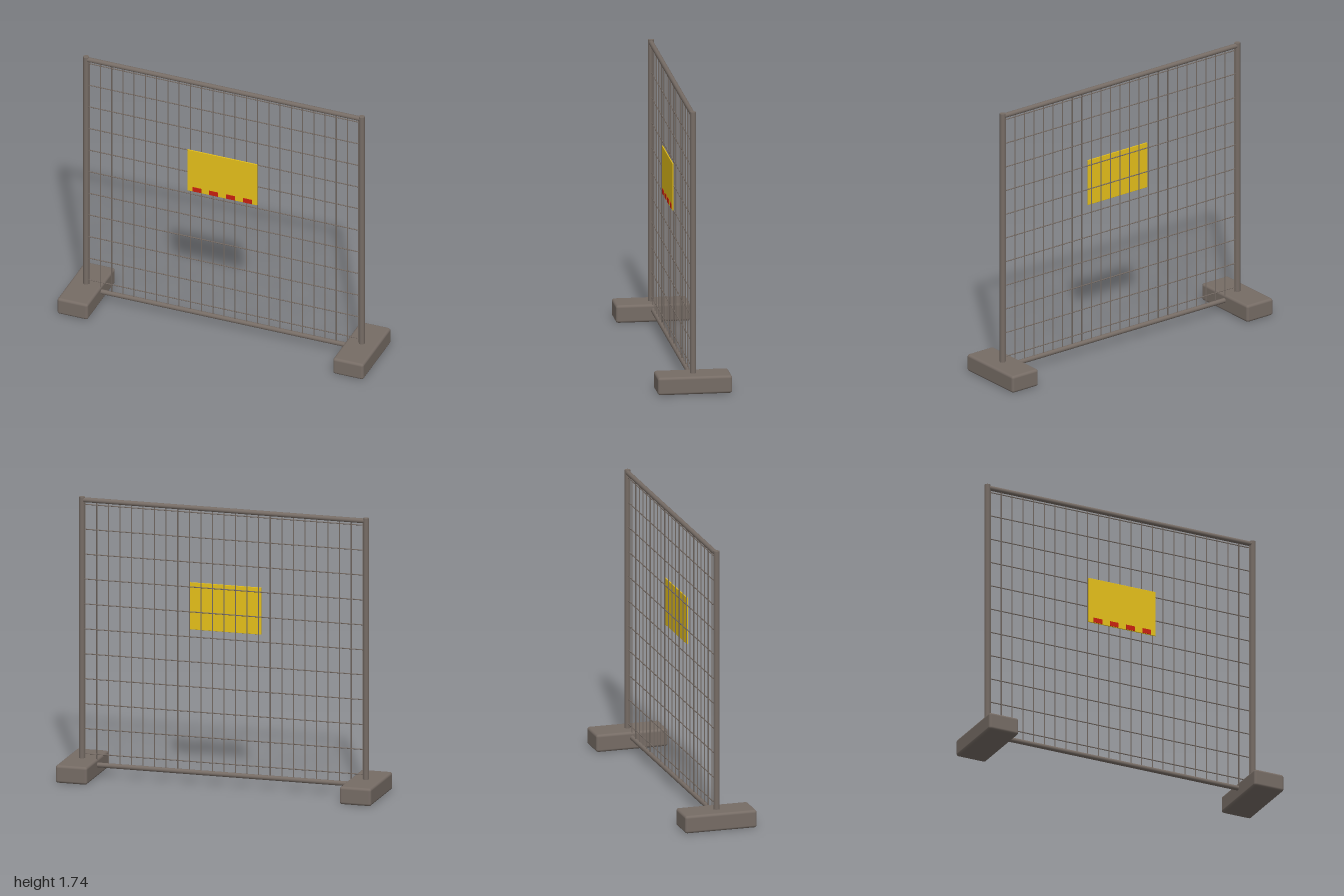
import * as THREE from 'three';
import { RoundedBoxGeometry } from 'three/addons/geometries/RoundedBoxGeometry.js';

const material = (name, color) => {
  const m = new THREE.MeshStandardMaterial({ color });
  m.name = name;
  return m;
};

export function createModel() {
  const steel = material('warm grey steel', 0x766c65);
  const yellow = material('sign yellow', 0xe5c01a);
  const red = material('mark red', 0xc9200f);

  const model = new THREE.Group();
  model.name = 'fencePanel';

  const add = (name, geometry, mat, x, y, z, parent = model) => {
    const mesh = new THREE.Mesh(geometry, mat);
    mesh.name = name;
    mesh.position.set(x, y, z);
    parent.add(mesh);
    return mesh;
  };
  const tube = (radius, length, sides) => new THREE.CylinderGeometry(radius, radius, length, sides);

  // Weighted feet and upright posts, mirrored
  for (const [label, s] of [['left', 1], ['right', -1]]) {
    add(label + 'Foot', new RoundedBoxGeometry(0.2, 0.11, 0.456, 3, 0.016), steel, s * 0.9, 0.055, 0);
    add(label + 'Post', tube(0.018, 1.742, 20), steel, s * 0.9, 0.871, 0);
  }

  // Horizontal rails
  for (const [name, y] of [['topRail', 1.724], ['bottomRail', 0.073]]) {
    add(name, tube(0.015, 1.79, 16), steel, 0, y, 0).rotation.z = Math.PI / 2;
  }

  // Wire mesh infill
  const mesh = new THREE.Group();
  mesh.name = 'wireMesh';
  model.add(mesh);
  const upright = tube(0.0034, 1.64, 8);
  for (let i = -12; i <= 12; i++) add('verticalWire', upright, steel, i * 0.0733, 0.897, 0, mesh);
  const cross = tube(0.0034, 1.78, 8);
  for (let i = 0; i < 11; i++) {
    add('horizontalWire', cross, steel, 0, 0.139 + i * 0.1557, 0, mesh).rotation.z = Math.PI / 2;
  }

  // Sign plate with a row of marks along its lower edge
  add('signPlate', new RoundedBoxGeometry(0.456, 0.294, 0.007, 2, 0.002), yellow, 0, 1.104, 0.0265);
  for (const x of [-0.165, -0.055, 0.055, 0.165]) {
    add('signMark', new THREE.BoxGeometry(0.058, 0.03, 0.004), red, x, 0.975, 0.031);
  }

  return model;
}
